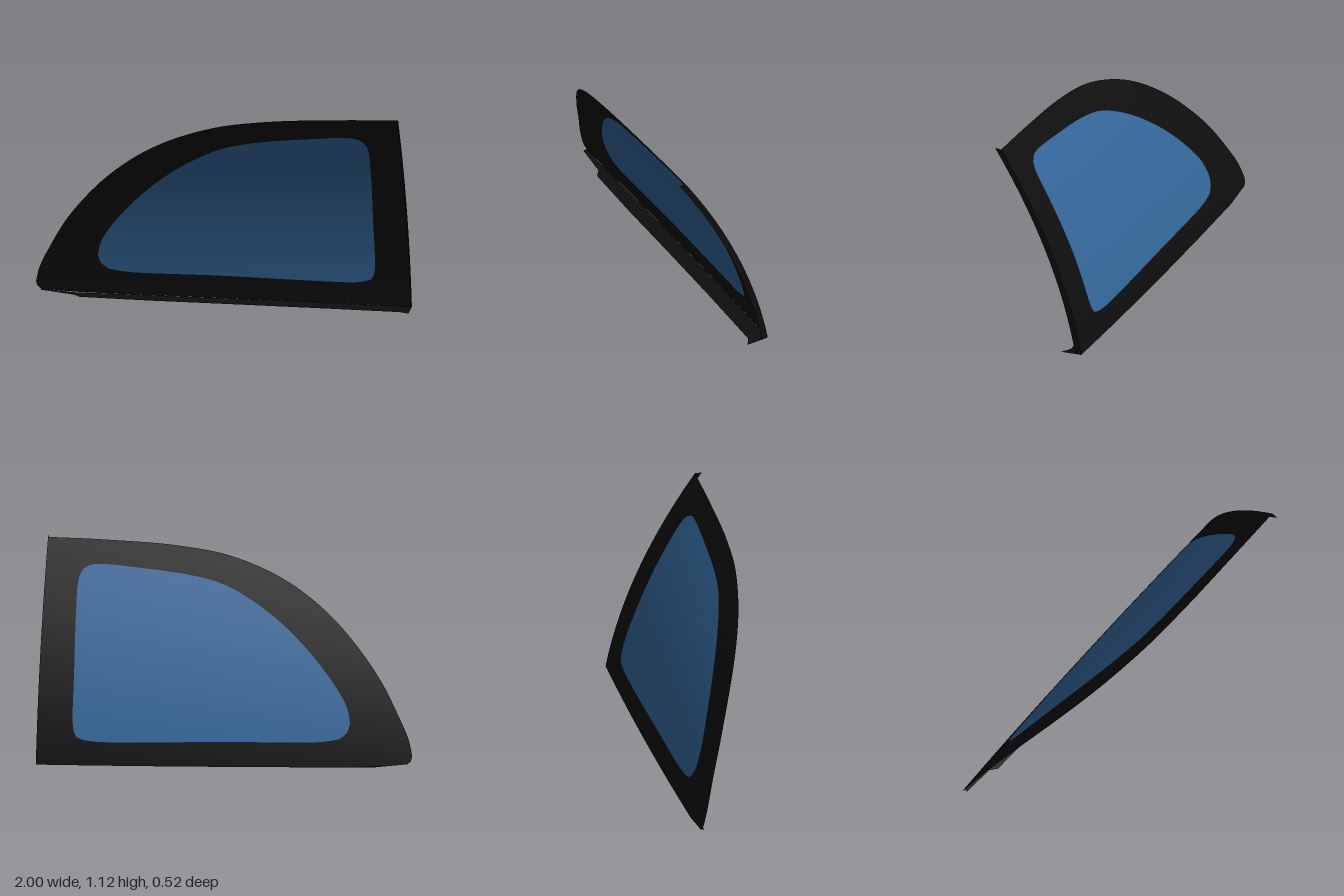
import * as THREE from 'three';

const frameMat = new THREE.MeshStandardMaterial({ color: 0x0e0e0e, side: THREE.DoubleSide });
const glassMat = new THREE.MeshStandardMaterial({ color: 0x336699, side: THREE.DoubleSide });

// Depth of the curved panel at any (x, y): leans forward and bulges backward
function depth(x, y) {
  const u = (1 - x) / 2;
  return -0.263 + 0.182 * y + 0.223 * y * y + 0.025 * u + 0.06 * u * u + 0.062 * u * y;
}
const onPanel = (p) => new THREE.Vector3(p.x, p.y, depth(p.x, p.y));

// Evenly spaced points along a smooth curve
function sample(points, n) {
  const curve = new THREE.CatmullRomCurve3(points.map(([x, y]) => new THREE.Vector3(x, y, 0)));
  return curve.getSpacedPoints(n);
}

// Closed outline from matching sections, so that rings pair up corner to corner
const COUNTS = [24, 64, 6, 32];
const outline = (sections) => sections.flatMap((s, i) => sample(s, COUNTS[i]).slice(0, -1));

// Skin over a list of equally long rows of points
function loft(rows, closed) {
  const n = rows[0].length;
  const position = rows.flatMap((row) => row.flatMap((p) => [p.x, p.y, p.z]));
  const index = [];
  for (let r = 0; r < rows.length - 1; r++) {
    for (let i = 0; i < (closed ? n : n - 1); i++) {
      const j = (i + 1) % n;
      const a = r * n + i, b = r * n + j, c = a + n, d = b + n;
      index.push(a, c, b, b, c, d);
    }
  }
  const geometry = new THREE.BufferGeometry();
  geometry.setAttribute('position', new THREE.Float32BufferAttribute(position, 3));
  geometry.setIndex(index);
  geometry.computeVertexNormals();
  return geometry;
}

// Rings on the curved panel between two outlines
function rings(from, to, steps) {
  return Array.from({ length: steps + 1 }, (_, s) =>
    from.map((p, i) => onPanel(p.clone().lerp(to[i], s / steps))));
}

function addMesh(group, name, geometry, material) {
  const mesh = new THREE.Mesh(geometry, material);
  mesh.name = name;
  group.add(mesh);
}

export function createModel() {
  const group = new THREE.Group();
  group.name = 'quarterWindow';

  // Sections: upright edge, arched top, nose, sill
  const outer = outline([
    [[1, 0.012], [1, 0.55], [1, 1.125]],
    [[1, 1.125], [0.7, 1.12], [0.3, 1.1], [0, 1.053], [-0.31, 0.935], [-0.57, 0.755],
      [-0.8, 0.505], [-0.92, 0.31], [-0.98, 0.19], [-1, 0.11]],
    [[-1, 0.11], [-0.993, 0.085], [-0.975, 0.07]],
    [[-0.975, 0.07], [-0.8, 0.055], [0, 0.034], [1, 0.012]],
  ]);
  const inner = outline([
    [[0.79, 0.163], [0.806, 0.2], [0.815, 0.5], [0.824, 0.9], [0.82, 0.945], [0.8, 0.982]],
    [[0.8, 0.982], [0.765, 1.002], [0.71, 1.008], [0.5, 0.995], [0.2, 0.962], [0.03, 0.92],
      [-0.2, 0.8], [-0.42, 0.625], [-0.59, 0.435], [-0.645, 0.345], [-0.664, 0.27]],
    [[-0.664, 0.27], [-0.65, 0.225], [-0.61, 0.19]],
    [[-0.61, 0.19], [-0.52, 0.175], [0, 0.162], [0.5, 0.145], [0.68, 0.142], [0.75, 0.149], [0.79, 0.163]],
  ]);
  const centre = inner.map(() => new THREE.Vector3(0.2, 0.55, 0));

  addMesh(group, 'frameBorder', loft(rings(outer, inner, 4), true), frameMat);
  addMesh(group, 'glassPane', loft(rings(inner, centre, 10), true), glassMat);

  // Flange turned inward along the upright edge
  const upright = outer.slice(0, COUNTS[0] + 1).map(onPanel);
  const uprightLip = upright.map((p) => p.clone().add(new THREE.Vector3(0, 0, 0.037)));
  addMesh(group, 'uprightFlange', loft([upright, uprightLip], false), frameMat);

  // Flange turned inward under the sill, narrower near the nose and flared at the end
  const sillX = [-0.975, -0.8, -0.76, -0.4, 0, 0.5, 0.95, 1];
  const sillDepth = [0.02, 0.035, 0.065, 0.08, 0.085, 0.088, 0.09, 0.12];
  const sill = sillX.map((x) => onPanel({ x, y: x < -0.8 ? 0.055 - (x + 0.8) * 0.086 : 0.0335 - x * 0.0215 }));
  const sillLip = sill.map((p, i) => p.clone().add(new THREE.Vector3(0, -0.012 * Math.min(1, sillDepth[i] / 0.08), sillDepth[i])));
  addMesh(group, 'sillFlange', loft([sill, sillLip], false), frameMat);

  return group;
}
